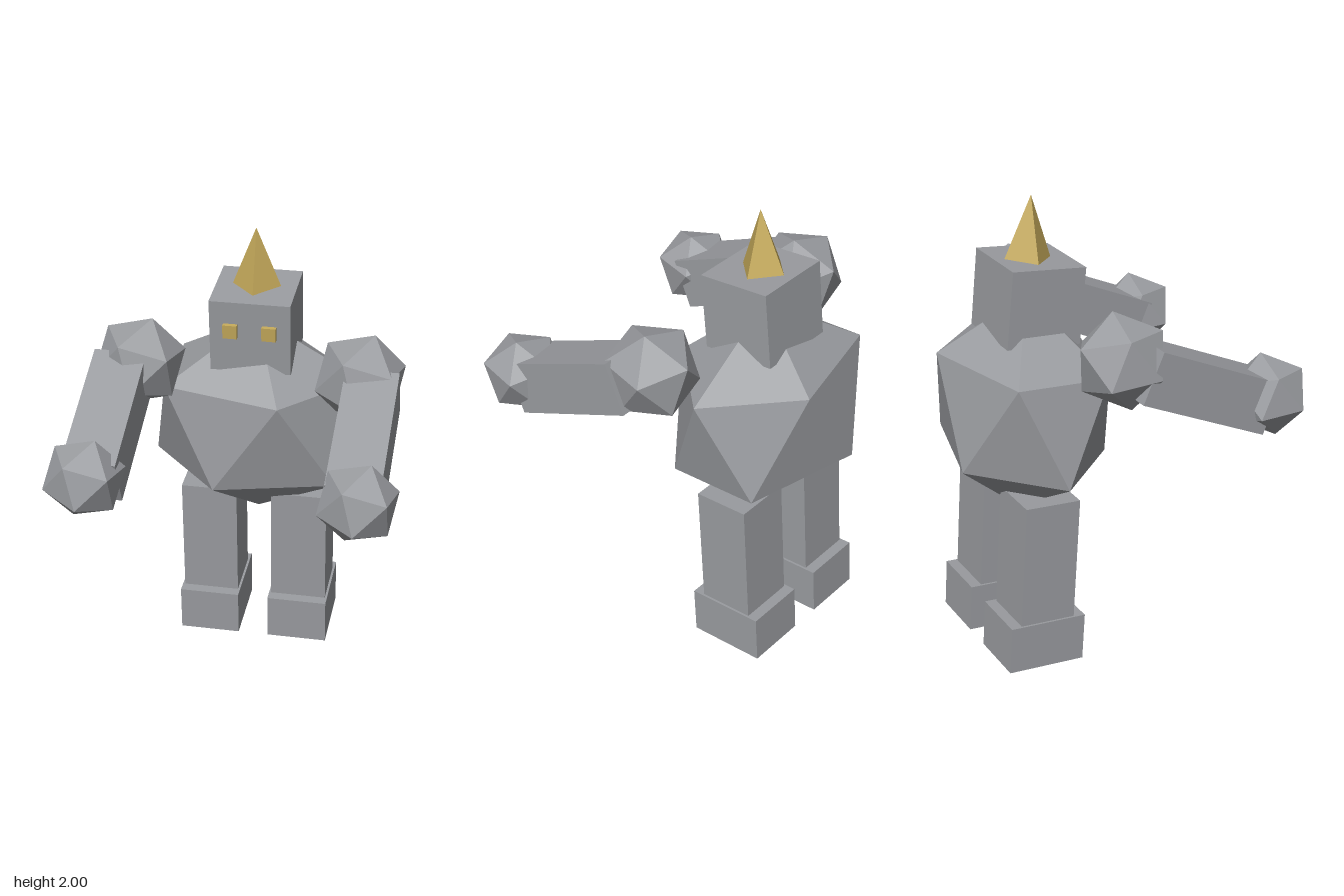
import * as THREE from 'three';
import { ConvexGeometry } from 'three/addons/geometries/ConvexGeometry.js';

const stone = new THREE.MeshStandardMaterial({ color: 0x9a9ca0, flatShading: true });
stone.name = 'stone grey';
const gold = new THREE.MeshStandardMaterial({ color: 0xc4a95a, flatShading: true });
gold.name = 'gold';

const rad = THREE.MathUtils.degToRad;

// Unit boulder: an icosahedron standing on one corner, with two rings of five
function boulderGeometry() {
  const points = [new THREE.Vector3(0, 1, 0), new THREE.Vector3(0, -1, 0)];
  const r = 2 / Math.sqrt(5), h = 1 / Math.sqrt(5);
  for (let i = 0; i < 5; i++) {
    const a = (i * Math.PI * 2) / 5;
    points.push(new THREE.Vector3(r * Math.cos(a), h, r * Math.sin(a)));
    points.push(new THREE.Vector3(-r * Math.cos(a), -h, r * Math.sin(a)));
  }
  return new ConvexGeometry(points);
}

export function createModel() {
  const model = new THREE.Group();
  model.name = 'stoneGolem';
  const boulder = boulderGeometry();

  // Adds a mesh tilted about the x axis
  const add = (name, geometry, material, position, tilt, scale = [1, 1, 1]) => {
    const mesh = new THREE.Mesh(geometry, material);
    mesh.name = name;
    mesh.position.set(...position);
    mesh.rotation.x = rad(tilt);
    mesh.scale.set(...scale);
    model.add(mesh);
  };
  const box = (w, h, d) => new THREE.BoxGeometry(w, h, d);

  // Body and head, leaning slightly forward
  add('torso', boulder, stone, [0, 1.1, -0.34], 3.3, [0.52, 0.48, 0.39]);
  add('head', box(0.35, 0.33, 0.33), stone, [0, 1.57, -0.303], 5.5);
  add('horn', new THREE.ConeGeometry(0.106, 0.268, 4), gold, [0, 1.866, -0.293], 4.5);

  for (const [side, s] of [['left', 1], ['right', -1]]) {
    add(side + 'Eye', box(0.062, 0.062, 0.05), gold, [s * 0.084, 1.587, -0.141], 5.5);

    // Legs
    add(side + 'Leg', box(0.252, 0.62, 0.248), stone, [s * 0.205, 0.455, -0.379], 3.5);
    add(side + 'Foot', box(0.272, 0.21, 0.346), stone, [s * 0.205, 0.115, -0.4], 3.5);

    // Arms raised forward
    add(side + 'Shoulder', boulder, stone, [s * 0.479, 1.418, -0.123], -66.4, [0.204, 0.204, 0.204]);
    add(side + 'Arm', box(0.227, 0.62, 0.227), stone, [s * 0.54, 1.27, 0.2075], -66.4);
    add(side + 'Fist', boulder, stone, [s * 0.562, 1.177, 0.525], -66.4, [0.176, 0.176, 0.176]);
  }
  return model;
}
